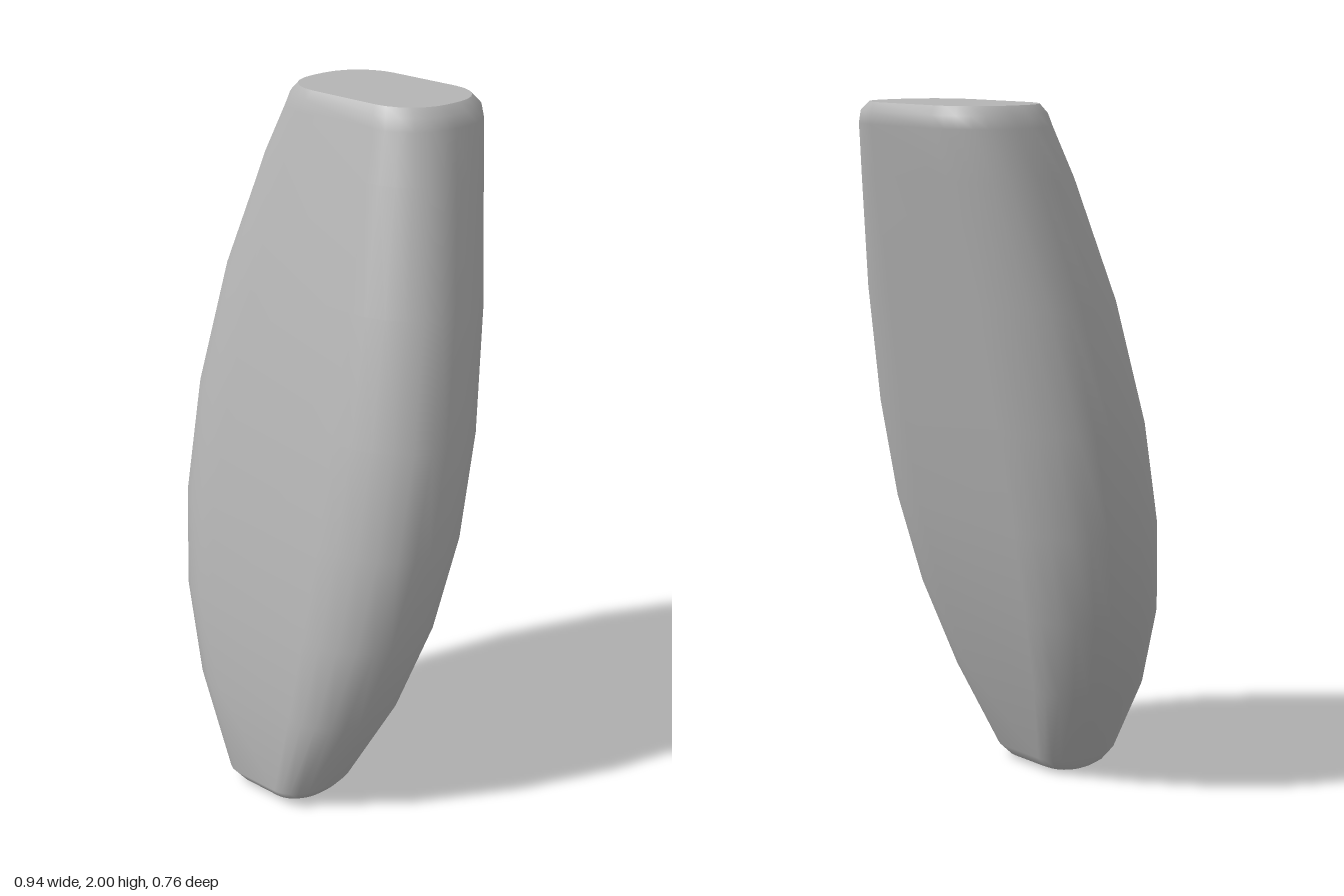
import * as THREE from 'three';

// Cross-sections from bottom to top: y, right x, left x, back z, front z
const SECTIONS = [
  [0.0, -0.085, 0.165, 0.155, 0.32],
  [0.012, -0.1, 0.185, 0.13, 0.355],
  [0.045, -0.125, 0.215, 0.1, 0.383],
  [0.29, -0.29, 0.35, 0.01, 0.376],
  [0.54, -0.4, 0.43, -0.075, 0.347],
  [0.81, -0.458, 0.468, -0.147, 0.298],
  [1.11, -0.473, 0.463, -0.212, 0.23],
  [1.46, -0.44, 0.41, -0.285, 0.137],
  [1.8, -0.36, 0.328, -0.352, 0.035],
  [1.94, -0.31, 0.288, -0.382, -0.008],
  [1.975, -0.298, 0.275, -0.382, -0.018],
  [2.0, -0.275, 0.25, -0.362, -0.035],
];
const STEPS = 6; // segments per rounded corner

// Rounded rectangle with elliptical corners, starting at +x and turning towards +z
function ring([y, x0, x1, z0, z1]) {
  const rx = (x1 - x0) * 0.27, rz = (z1 - z0) * 0.43;
  const corners = [[x1 - rx, z1 - rz], [x0 + rx, z1 - rz], [x0 + rx, z0 + rz], [x1 - rx, z0 + rz]];
  return corners.flatMap(([cx, cz], q) => Array.from({ length: STEPS + 1 }, (_, i) => {
    const a = (q + i / STEPS) * Math.PI / 2;
    return new THREE.Vector3(cx + rx * Math.cos(a), y, cz + rz * Math.sin(a));
  }));
}

function buildGeometry(points, index) {
  const g = new THREE.BufferGeometry().setFromPoints(points);
  g.setIndex(index);
  g.computeVertexNormals();
  return g;
}

// Smooth wall lofted through all the rings
function wall(rings) {
  const n = rings[0].length, index = [];
  for (let j = 0; j < rings.length - 1; j++) {
    for (let i = 0; i < n; i++) {
      const a = j * n + i, b = j * n + (i + 1) % n;
      index.push(a, a + n, b + n, a, b + n, b);
    }
  }
  return buildGeometry(rings.flat(), index);
}

// Flat end face as a fan
function cap(points, up) {
  const index = [];
  for (let i = 1; i < points.length - 1; i++) index.push(0, ...(up ? [i + 1, i] : [i, i + 1]));
  return buildGeometry(points, index);
}

export function createModel() {
  const model = new THREE.Group();
  model.name = 'taperedSegment';
  const grey = new THREE.MeshStandardMaterial({ color: 0xb4b4b4 });
  grey.name = 'grey';
  const add = (name, geometry) => {
    const mesh = new THREE.Mesh(geometry, grey);
    mesh.name = name;
    model.add(mesh);
  };

  const rings = SECTIONS.map(ring);
  add('body', wall(rings));
  add('bottomCap', cap(rings[0], false));
  add('topCap', cap(rings[rings.length - 1], true));
  return model;
}
